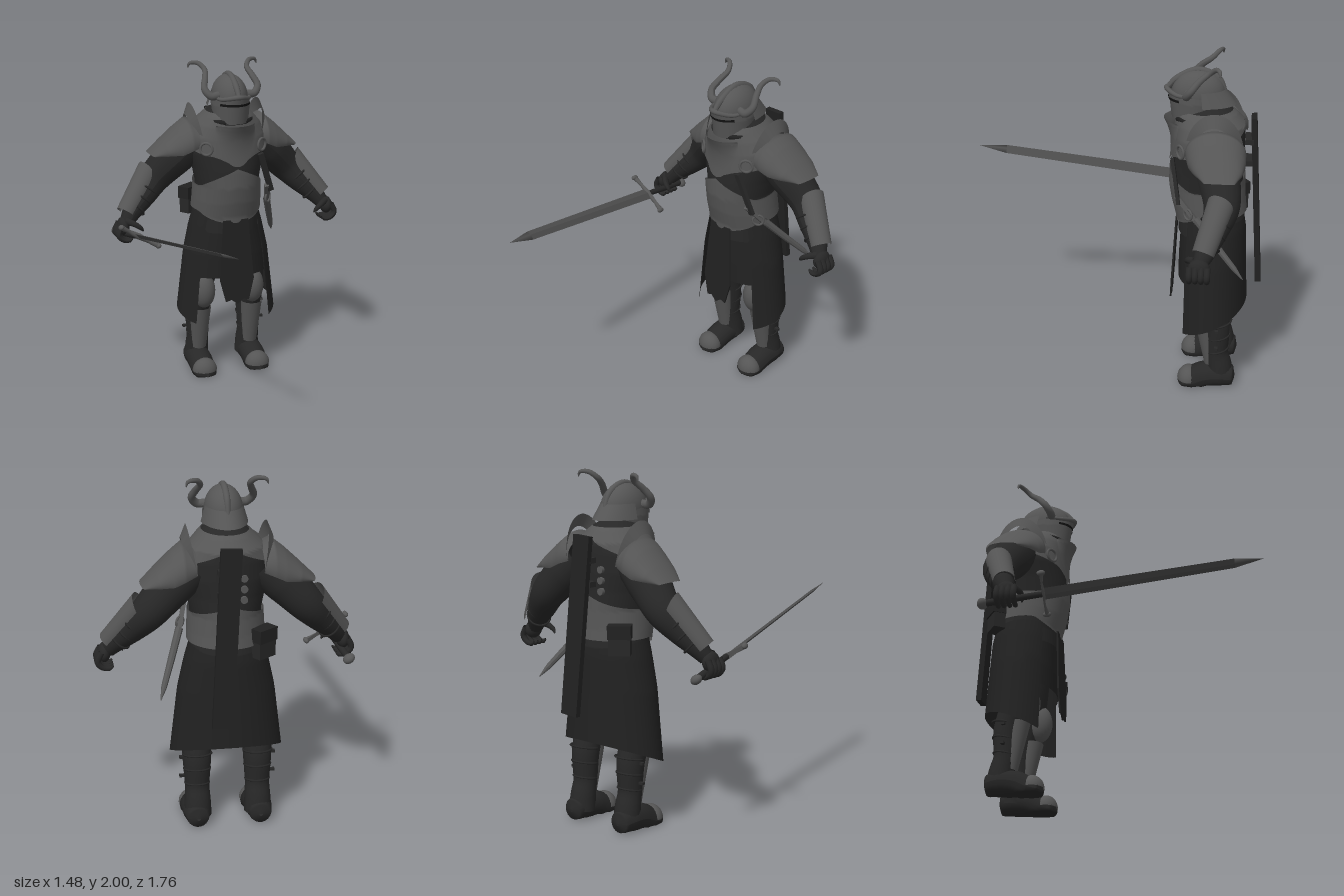
import * as THREE from 'three';
import { toCreasedNormals } from 'three/addons/utils/BufferGeometryUtils.js';
import { ParametricGeometry } from 'three/addons/geometries/ParametricGeometry.js';

const V = (x, y, z) => new THREE.Vector3(x, y, z);
const { lerp, clamp } = THREE.MathUtils;
const { PI, sin, cos, abs, min, max } = Math;

const paint = (name, color) => Object.assign(new THREE.MeshStandardMaterial({ color, side: THREE.DoubleSide }), { name });

function add(parent, name, geo, mat, pos = [0, 0, 0], scale = [1, 1, 1]) {
  const m = new THREE.Mesh(geo, mat);
  m.name = name;
  m.position.set(...pos);
  m.scale.set(...scale);
  parent.add(m);
  return m;
}

// Linear lookup in rows of [key, a, b, c]
function lookup(rows, k) {
  let i = 0;
  while (i < rows.length - 2 && k > rows[i + 1][0]) i++;
  const A = rows[i], B = rows[i + 1], t = clamp((k - A[0]) / (B[0] - A[0]), 0, 1);
  return A.map((v, j) => lerp(v, B[j], t));
}

// Curved plate wrapped on an oval body; rows are [y, centreZ, radiusX, radiusZ], angle 0 is the front
function shell(rows, a0, a1, bot, top, off = () => 0, nu = 44, nv = 14) {
  const val = (k, a) => (typeof k === 'number' ? k : k(a));
  return new ParametricGeometry((u, v, t) => {
    const a = lerp(a0, a1, u), y = lerp(val(bot, a), val(top, a), v), o = off(a, v);
    const [, cz, rx, rz] = lookup(rows, y);
    t.set(sin(a) * (rx + o), y, cz + cos(a) * (rz + o));
  }, nu, nv);
}

// Tube through points [x, y, z, radius], never going below the ground
function sweep(pts, n = 28, sides = 14) {
  const curve = new THREE.CatmullRomCurve3(pts.map(p => V(p[0], p[1], p[2])));
  const geo = new THREE.TubeGeometry(curve, n, 1, sides);
  const pos = geo.attributes.position, p = V(), c = V();
  for (let q = 0; q < pos.count; q++) {
    const t = curve.getUtoTmapping(Math.floor(q / (sides + 1)) / n), f = t * (pts.length - 1);
    const k = min(pts.length - 2, Math.floor(f));
    curve.getPoint(t, c);
    p.fromBufferAttribute(pos, q).sub(c).multiplyScalar(lerp(pts[k][3], pts[k + 1][3], f - k)).add(c);
    pos.setXYZ(q, p.x, max(0, p.y), p.z);
  }
  geo.computeVertexNormals();
  return geo;
}

// Half-pipe guard from A to B, bulging towards out, with a peaked upper edge
function gutter(A, B, out, r0, r1, half, peak) {
  const d = B.clone().sub(A).normalize();
  const o = out.clone().addScaledVector(d, -out.dot(d)).normalize(), s = d.clone().cross(o);
  return new ParametricGeometry((u, v, t) => {
    const f = (u * 2 - 1) * half, r = lerp(r0, r1, v) + 0.025 * cos(f);
    t.copy(A).lerp(B, v).addScaledVector(d, -peak * (1 - v) * cos(f)).addScaledVector(o, r * cos(f)).addScaledVector(s, r * sin(f));
  }, 18, 10);
}

// Flat bar between two points, its width facing sideways
function bar(parent, name, a, b, w, t, mat) {
  const m = add(parent, name, new THREE.BoxGeometry(w, t, a.distanceTo(b)), mat);
  const z = b.clone().sub(a).normalize(), x = V(1, 0, 0).addScaledVector(z, -z.x).normalize();
  m.quaternion.setFromRotationMatrix(new THREE.Matrix4().makeBasis(x, z.clone().cross(x), z));
  m.position.copy(a).lerp(b, 0.5);
}

export function createModel() {
  const steel = paint('steel', 0x555555), leather = paint('dark leather', 0x272727);
  const cloth = paint('black cloth', 0x212121), bladeMat = paint('blade steel', 0x4c4c4c), black = paint('shadow black', 0x121212);
  const ball = new THREE.SphereGeometry(1, 24, 16);
  const group = (name, parent) => {
    const g = new THREE.Group();
    g.name = name;
    if (parent) parent.add(g);
    return g;
  };
  const root = group('armouredWarrior'), body = group('body', root), side = group('leftSide', body);
  body.position.x = 0.012;

  // Torso and its plates
  const trunk = [[0.95, -0.57, 0.2, 0.18], [1.05, -0.58, 0.205, 0.193], [1.15, -0.56, 0.2, 0.2],
    [1.25, -0.548, 0.195, 0.205], [1.35, -0.548, 0.215, 0.203], [1.45, -0.555, 0.245, 0.2],
    [1.55, -0.56, 0.24, 0.197], [1.62, -0.56, 0.2, 0.195], [1.68, -0.535, 0.14, 0.165], [1.73, -0.52, 0.09, 0.11]];
  const w = (a, s) => min(1, abs(a) / s);
  add(body, 'torso', shell(trunk, -PI, PI, 0.95, 1.73, undefined, 48, 30), leather);
  add(body, 'bellyPlate', shell(trunk, -PI, PI, a => 1.02 + 0.07 * w(a, 1.2) ** 2,
    a => 1.37 - 0.12 * w(a, 1.2) + 0.08 * w(a, PI) ** 4, () => 0.015), steel);
  add(body, 'breastplate', shell(trunk, -PI, PI, a => 1.385 + 0.05 * w(a, 0.5) + 0.21 * w(a, PI) ** 1.7, 1.7, () => 0.011), steel);
  add(body, 'bib', shell(trunk, -0.62, 0.62, a => 1.385 + 0.24 * w(a, 0.62) ** 2.2, 1.64,
    (a, v) => 0.02 + 0.055 * v ** 3 * cos(a) ** 6), steel);
  add(body, 'scarf', new THREE.TorusGeometry(0.118, 0.022, 10, 36).rotateX(PI / 2), cloth, [0, 1.653, -0.495], [1.08, 1, 1.05]);

  // Coat, loin cloth and tabard
  const coat = [[0.36, -0.59, 0.325, 0.222], [0.8, -0.582, 0.272, 0.208], [0.98, -0.582, 0.232, 0.2], [1.1, -0.575, 0.195, 0.185]];
  add(body, 'coat', shell(coat, 0.84, 2 * PI - 0.84, a => 0.335 + 0.18 * (1 - cos(a)) / 2, 1.1), cloth);
  add(body, 'loinCloth', shell(coat, -1, 1, 0.66, 1.08, () => -0.022), cloth);
  const half = [[0.08, 1.04], [0.11, 0.66], [0.075, 0.52], [0.04, 0.53], [0, 0.5]];
  const tab = new THREE.Shape([...half, ...half.slice(0, 4).reverse().map(p => [-p[0], p[1]])].map(p => new THREE.Vector2(...p)));
  add(body, 'tabard', new THREE.ExtrudeGeometry(tab, { depth: 0.01, bevelEnabled: false }), cloth, [0, 0, -0.335]).rotation.x = -0.048;

  // Helmet
  const face = [[1.645, -0.46, 0.103, 0.122], [1.75, -0.472, 0.113, 0.15], [1.82, -0.475, 0.108, 0.168]];
  add(body, 'helmetDome', new THREE.SphereGeometry(1, 32, 14, 0, PI * 2, 0, PI * 0.55), steel, [0, 1.79, -0.485], [0.105, 0.136, 0.152]);
  add(body, 'faceGuard', shell(face, -PI, PI, 1.645, a => 1.79 + 0.025 * cos(a)), steel);
  add(body, 'eyeSlit', shell(face, -0.95, 0.95, 1.755, 1.77, () => 0.004, 24, 2), black);
  add(body, 'neckGuard', shell([[1.735, -0.48, 0.13, 0.22], [1.82, -0.48, 0.105, 0.155]], PI * 0.55, PI * 1.45, 1.735, 1.82), steel);
  add(body, 'browBand', sweep([[-0.108, 1.8, -0.46, 0.008], [-0.085, 1.795, -0.375, 0.012], [0, 1.815, -0.304, 0.015],
    [0.085, 1.795, -0.375, 0.012], [0.108, 1.8, -0.46, 0.008]]), steel);
  add(body, 'helmetCrest', sweep([[0, 1.812, -0.308, 0.014], [0, 1.868, -0.36, 0.019], [0, 1.925, -0.48, 0.018],
    [0, 1.88, -0.595, 0.018], [0, 1.79, -0.64, 0.012]]), steel);

  // Left half of everything that comes in pairs: horn and shoulder
  add(side, 'horn', sweep([[0.09, 1.81, -0.43, 0.025], [0.135, 1.81, -0.425, 0.024], [0.168, 1.85, -0.45, 0.021],
    [0.15, 1.905, -0.495, 0.019], [0.135, 1.95, -0.55, 0.016], [0.165, 1.983, -0.59, 0.014],
    [0.21, 1.98, -0.61, 0.01], [0.22, 1.955, -0.612, 0.003]], 44, 12), steel);
  // Shoulder plate rows are [x, ridge height, half depth, drop]
  const ridge = [[0.18, 1.625, 0.155, 0.1], [0.24, 1.655, 0.17, 0.14], [0.31, 1.6, 0.16, 0.12], [0.39, 1.525, 0.135, 0.065], [0.475, 1.442, 0.085, 0.008]];
  add(side, 'shoulderPlate', new ParametricGeometry((u, v, t) => {
    const [x, y, d, h] = lookup(ridge, lerp(0.18, 0.475, v)), f = (u * 2 - 1) * 1.8;
    t.set(x - 0.02 * (1 - cos(f)) * v, y - h * (1 - cos(f)), -0.592 - 0.04 * v + d * sin(f));
  }, 24, 20), steel);
  // Standing crescent between shoulder and neck
  add(side, 'shoulderFlange', new ParametricGeometry((u, v, t) => {
    const f = (u * 2 - 1) * 1.5, k = lerp(0.72, 1, v);
    t.set(lerp(0.25, 0.22, v) - 0.045 * (1 - cos(f)), 1.49 + 0.255 * k * cos(f), -0.59 + 0.165 * k * sin(f));
  }, 24, 5), steel);
  add(side, 'chestRing', new THREE.TorusGeometry(0.037, 0.008, 8, 24), steel, [0.178, 1.495, -0.4]).rotation.y = 0.6;

  // Arm and gauntlet
  add(side, 'arm', sweep([[0.2, 1.51, -0.6, 0.12], [0.31, 1.41, -0.625, 0.12], [0.43, 1.285, -0.65, 0.1],
    [0.52, 1.185, -0.615, 0.08], [0.605, 1.095, -0.575, 0.058], [0.645, 1.04, -0.55, 0.043]], 32, 18), leather);
  const elbow = V(0.47, 1.29, -0.645), wrist = V(0.625, 1.085, -0.57);
  add(side, 'vambrace', gutter(elbow, wrist, V(0.8, 0.5, 0.25), 0.072, 0.058, 1.3, 0.05), steel);
  for (const k of [0.3, 0.55, 0.8]) {
    const band = add(side, 'forearmStrap', new THREE.TorusGeometry(lerp(0.09, 0.06, k), 0.007, 6, 24), leather);
    band.position.copy(elbow).lerp(wrist, k).add(V(-0.012, -0.009, 0));
    band.lookAt(wrist);
  }
  add(side, 'palm', ball, leather, [0.668, 1.025, -0.545], [0.036, 0.055, 0.06]);
  for (const z of [-0.495, -0.527, -0.559, -0.591]) {
    add(side, 'finger', sweep([[0.685, 1.04, z, 0.018], [0.708, 0.985, z, 0.018], [0.68, 0.95, z, 0.016],
      [0.64, 0.945, z, 0.014], [0.622, 0.96, z, 0.005]], 14, 8), leather);
  }
  add(side, 'thumb', sweep([[0.655, 1.06, -0.52, 0.023], [0.61, 1.045, -0.485, 0.018], [0.575, 1.02, -0.475, 0.014], [0.56, 1.0, -0.48, 0.004]], 12, 8), leather);

  // Leg, greave and boot
  const lx = 0.172, bx = 0.178;
  add(side, 'leg', sweep([[0.11, 0.95, -0.57, 0.11], [0.14, 0.75, -0.575, 0.1], [lx, 0.55, -0.595, 0.085],
    [lx, 0.38, -0.636, 0.08], [lx, 0.22, -0.642, 0.068], [lx, 0.14, -0.66, 0.074], [lx, 0.05, -0.67, 0.078]], 34, 18), leather);
  add(side, 'kneeGuard', ball, steel, [lx - 0.01, 0.55, -0.53], [0.072, 0.115, 0.078]);
  add(side, 'greave', gutter(V(lx, 0.43, -0.595), V(lx, 0.15, -0.638), V(0, 0, 1), 0.064, 0.042, 1.5, 0.01), steel);
  for (const y of [0.24, 0.33, 0.42]) {
    add(side, 'calfStrap', new THREE.TorusGeometry(0.051 + y * 0.07, 0.006, 6, 24).rotateX(PI / 2 + 0.2), leather, [lx, y, -0.645]);
  }
  for (const y of [0.285, 0.4]) add(side, 'strapEnd', new THREE.BoxGeometry(0.04, 0.014, 0.02), leather, [lx + 0.08, y, -0.64]);
  add(side, 'boot', sweep([[bx, 0.06, -0.755, 0.01], [bx, 0.06, -0.742, 0.06], [bx, 0.07, -0.67, 0.077],
    [bx, 0.06, -0.58, 0.078], [bx, 0.025, -0.5, 0.076], [bx, 0.012, -0.44, 0.066], [bx, 0.01, -0.415, 0.008]], 30, 18), leather);
  const cap = new THREE.SphereGeometry(1, 20, 8, 0, PI * 2, 0, PI * 0.5);
  add(side, 'toeCap', cap, steel, [bx, 0.03, -0.48], [0.079, 0.078, 0.068]);
  const right = side.clone();
  right.name = 'rightSide';
  right.scale.x = -1;
  body.add(right);

  // Sword, built along its own y axis and held in the right hand
  const sword = group('sword', root), up = V(0.2, 0.22, 1.22).normalize(), across = V(0.237, -0.145, 0);
  across.addScaledVector(up, -across.dot(up)).normalize();
  sword.quaternion.setFromRotationMatrix(new THREE.Matrix4().makeBasis(across, up, across.clone().cross(up)));
  sword.position.set(-0.61, 1.01, -0.35);
  add(sword, 'blade', toCreasedNormals(new THREE.CylinderGeometry(0.8, 1, 1.09, 4), 0.5), bladeMat, [0, 0.545, 0], [0.038, 1, 0.011]);
  add(sword, 'bladeTip', toCreasedNormals(new THREE.ConeGeometry(0.8, 0.17, 4), 0.5), bladeMat, [0, 1.175, 0], [0.038, 1, 0.011]);
  add(sword, 'crossGuard', sweep([[-0.14, 0.01, 0, 0.016], [-0.07, 0, 0, 0.012], [0, 0, 0, 0.019], [0.07, 0, 0, 0.012], [0.14, 0.01, 0, 0.016]]), steel);
  for (const s of [-1, 1]) add(sword, 'guardKnob', ball, steel, [s * 0.135, 0.01, 0], [0.015, 0.024, 0.017]);
  add(sword, 'grip', new THREE.CylinderGeometry(0.017, 0.02, 0.32, 14), leather, [0, -0.16, 0]);
  add(sword, 'pommel', ball, steel, [0, -0.335, 0], [0.035, 0.03, 0.026]);

  // Scabbard on the back with its straps and buckles
  bar(root, 'scabbard', V(0.02, 1.665, -0.803), V(0.075, 0.67, -0.866), 0.115, 0.032, cloth);
  for (const y of [1.53, 1.4]) add(root, 'scabbardStrap', new THREE.BoxGeometry(0.12, 0.03, 0.05), leather, [0.03, y, -0.783]);
  const disc = new THREE.CylinderGeometry(0.02, 0.02, 0.02, 14).rotateX(PI / 2);
  for (const y of [1.36, 1.42, 1.48]) add(body, 'backBuckle', disc, steel, [-0.07, y, -0.75]);

  // Belt pouch at the right hip
  const pouch = group('pouch', root);
  pouch.position.set(-0.17, 1.1, -0.725);
  pouch.rotation.y = PI + 0.6;
  add(pouch, 'pouchBag', new THREE.BoxGeometry(0.12, 0.16, 0.07), leather);
  add(pouch, 'pouchFlap', new THREE.BoxGeometry(0.13, 0.075, 0.08), cloth, [0, 0.05, 0.003]);

  // Chest strap and dagger at the left hip
  bar(root, 'daggerStrap', V(0.165, 1.45, -0.355), V(0.25, 1.2, -0.4), 0.035, 0.02, leather);
  add(root, 'daggerRing', new THREE.TorusGeometry(0.032, 0.007, 8, 20), steel, [0.25, 1.14, -0.455]).rotation.y = 0.8;
  bar(root, 'daggerGrip', V(0.215, 1.24, -0.385), V(0.265, 1.1, -0.51), 0.026, 0.026, steel);
  add(root, 'daggerBlade', toCreasedNormals(sweep([[0.26, 1.12, -0.5, 0.022], [0.32, 0.99, -0.62, 0.02],
    [0.375, 0.875, -0.73, 0.016], [0.4, 0.82, -0.782, 0.002]], 16, 8), 0.5), steel);
  return root;
}
